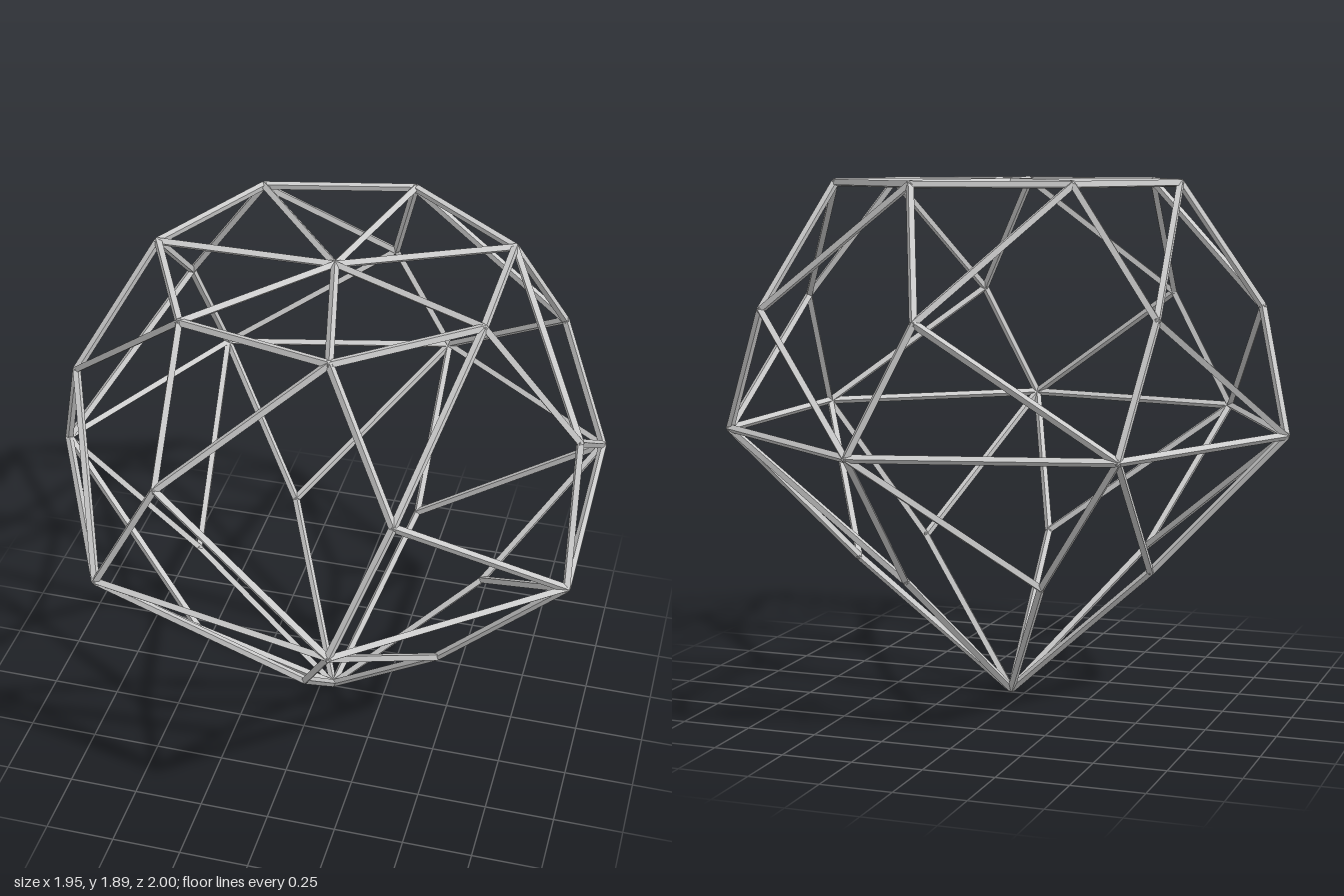
import * as THREE from 'three';

const SIDES = 7;
const STEP = (Math.PI * 2) / SIDES;
const CENTRE_X = 0.05;
const STRUT = 0.0145;

// Ring of seven nodes; turn is the twist in fractions of a step
function ring(radius, y, turn = 0, centreX = CENTRE_X) {
  return Array.from({ length: SIDES }, (_, i) => {
    const a = Math.PI + (i + turn) * STEP;
    return new THREE.Vector3(centreX + radius * Math.cos(a), y, radius * Math.sin(a));
  });
}

export function createModel() {
  const model = new THREE.Group();
  model.name = 'gemFrame';
  const material = new THREE.MeshStandardMaterial({ color: 0xcccccc, flatShading: true });
  const heart = new THREE.Vector3(CENTRE_X, 1, 0);

  // Diamond-section bar with one ridge facing outwards
  function strut(parent, name, a, b) {
    const along = b.clone().sub(a);
    const geometry = new THREE.CylinderGeometry(STRUT, STRUT, along.length(), 4);
    const mid = a.clone().add(b).multiplyScalar(0.5);
    along.normalize();
    const out = mid.clone().sub(heart);
    out.addScaledVector(along, -out.dot(along)).normalize();
    const side = new THREE.Vector3().crossVectors(out, along);
    const mesh = new THREE.Mesh(geometry, material);
    mesh.quaternion.setFromRotationMatrix(new THREE.Matrix4().makeBasis(out, along, side));
    mesh.position.copy(mid);
    mesh.name = name;
    parent.add(mesh);
  }

  function part(name) {
    const group = new THREE.Group();
    group.name = name;
    model.add(group);
    return group;
  }

  // Node rings, from the table down to the point
  const table = ring(0.625, 1.875);
  const crown = ring(0.908, 1.44, -0.25, 0.058);
  const girdle = ring(1.01, 1.005, -0.011);
  const pavilion = ring(0.558, 0.512, 1 / 6);
  const hub = new THREE.Vector3(CENTRE_X, 1.875, 0);
  const point = new THREE.Vector3(CENTRE_X, 0.017, 0);

  const tableGroup = part('table');
  const crownGroup = part('crown');
  const girdleGroup = part('girdle');
  const pavilionGroup = part('pavilion');
  for (let i = 0; i < SIDES; i++) {
    const next = (i + 1) % SIDES;
    const prev = (i + SIDES - 1) % SIDES;
    strut(tableGroup, 'tableEdge', table[i], table[next]);
    strut(tableGroup, 'tableSpoke', hub, table[i]);
    // Each crown node joins two table and two girdle nodes
    for (const k of [i, prev]) {
      strut(crownGroup, 'upperCrownStrut', table[k], crown[i]);
      strut(crownGroup, 'lowerCrownStrut', crown[i], girdle[k]);
    }
    strut(girdleGroup, 'girdleEdge', girdle[i], girdle[next]);
    // Each pavilion node joins two girdle nodes and the point
    strut(pavilionGroup, 'upperPavilionStrut', girdle[i], pavilion[i]);
    strut(pavilionGroup, 'upperPavilionStrut', girdle[next], pavilion[i]);
    strut(pavilionGroup, 'lowerPavilionStrut', pavilion[i], point);
  }

  // Small joints close the strut ends
  const joints = part('joints');
  const jointGeometry = new THREE.IcosahedronGeometry(STRUT * 1.05, 0);
  for (const p of [...table, ...crown, ...girdle, ...pavilion, hub, point]) {
    const joint = new THREE.Mesh(jointGeometry, material);
    joint.position.copy(p);
    joint.name = 'joint';
    joints.add(joint);
  }
  return model;
}
